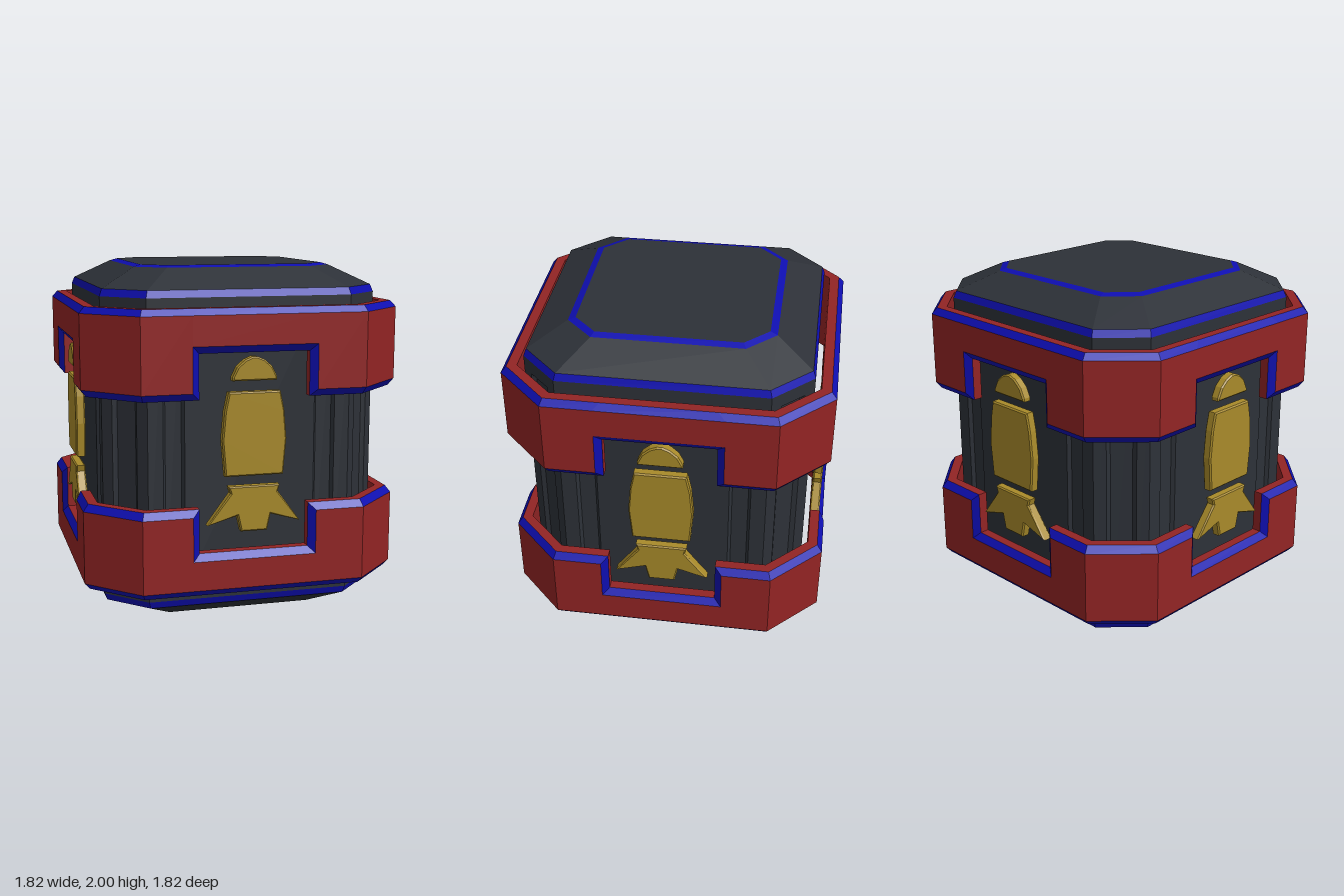
import * as THREE from 'three';

const mat = (color) => new THREE.MeshStandardMaterial({ color, flatShading: true });
const DARK = mat(0x2d3138), RED = mat(0x922424), BLUE = mat(0x0e0eb0), GOLD = mat(0xa88a2a);

// Repeat one side's [x, y, z] points around all four sides
function around(side) {
  const loop = [];
  let pts = side;
  for (let k = 0; k < 4; k++) {
    loop.push(...pts);
    pts = pts.map(([x, y, z]) => [z, y, -x]);
  }
  return loop;
}

// Octagonal loop: half width h, corner position c, height y
const octagon = (h, c, y) => around([[-c, y, h], [c, y, h]]);

// Wall triangles joining two loops
function wall(lower, upper) {
  const tris = [];
  lower.forEach((a, i) => {
    const j = (i + 1) % lower.length;
    tris.push(a, lower[j], upper[j], a, upper[j], upper[i]);
  });
  return tris;
}

// Flat lid on a loop
function lid(loop, up) {
  const tris = [];
  for (let i = 1; i < loop.length - 1; i++) {
    tris.push(loop[0], ...(up ? [loop[i], loop[i + 1]] : [loop[i + 1], loop[i]]));
  }
  return tris;
}

function mesh(name, material, tris) {
  const g = new THREE.BufferGeometry();
  g.setAttribute('position', new THREE.Float32BufferAttribute(tris.flat(), 3));
  g.computeVertexNormals();
  const m = new THREE.Mesh(g, material);
  m.name = name;
  return m;
}

// Fluted core between the two caps
function makeCore() {
  const half = [[0.37, 0.79], [0.385, 0.77], [0.475, 0.77], [0.49, 0.79], [0.575, 0.79]];
  const flute = [[0.625, 0.74], [0.626, 0.711], [0.711, 0.626], [0.74, 0.625]];
  const side = [...half.map(([x, z]) => [-x, z]).reverse(), ...half, ...flute];
  const at = (y) => around(side.map(([x, z]) => [x, y, z]));
  return mesh('core', DARK, wall(at(0.23), at(1.77)));
}

// Chamfered cap with two trim lines
function makeCap(name) {
  const loops = [[0.79, 0.575, 1.76], [0.79, 0.575, 1.84], [0.775, 0.565, 1.88],
    [0.57, 0.415, 1.988], [0.53, 0.4, 2]].map((a) => octagon(...a));
  const cap = new THREE.Group();
  cap.name = name;
  cap.add(
    mesh('capShell', DARK, [...lid(loops[0], false), ...wall(loops[0], loops[1]),
      ...wall(loops[2], loops[3]), ...lid(loops[4], true)]),
    mesh('capTrim', BLUE, [...wall(loops[1], loops[2]), ...wall(loops[3], loops[4])]),
  );
  return cap;
}

// Octagonal armour band, notched on each side, with bevelled trim
function makeBand(name) {
  // c: corner, n: notch half width, low / high: lower edge beside / inside the notch
  const loop = (h, c, n, low, high) => around([[-c, low, h], [-n, low, h], [-n, high, h],
    [n, high, h], [n, low, h], [c, low, h]]);
  const innerLow = loop(0.825, 0.595, 0.31, 1.3, 1.55);
  const bevelLow = loop(0.88, 0.617, 0.31, 1.3, 1.55);
  const outerLow = loop(0.91, 0.63, 0.35, 1.34, 1.59);
  const outerTop = loop(0.91, 0.63, 0.35, 1.755, 1.755);
  const bevelTop = loop(0.88, 0.617, 0.31, 1.79, 1.79);
  const innerTop = loop(0.825, 0.595, 0.31, 1.79, 1.79);
  const band = new THREE.Group();
  band.name = name;
  band.add(
    mesh('bandPlate', RED, [...wall(innerLow, bevelLow), ...wall(outerLow, outerTop),
      ...wall(bevelTop, innerTop), ...wall(innerTop, innerLow)]),
    mesh('bandTrim', BLUE, [...wall(bevelLow, outerLow), ...wall(outerTop, bevelTop)]),
  );
  return band;
}

// Rocket emblem from mirrored right-hand outlines
function makeRocket() {
  const parts = {
    rocketNose: [[0.125, 1.395], [0.125, 1.415], [0.098, 1.47], [0.055, 1.508], [0.015, 1.525]],
    rocketBody: [[0.165, 0.87], [0.182, 1.07], [0.168, 1.23], [0.146, 1.335]],
    rocketFins: [[0.075, 0.557], [0.09, 0.64], [0.265, 0.6], [0.135, 0.775], [0.146, 0.813]],
  };
  // Fin tips sweep down, so their inner edge starts higher
  parts.rocketFins[1] = [0.095, 0.648];
  const rocket = new THREE.Group();
  rocket.name = 'rocket';
  for (const [name, right] of Object.entries(parts)) {
    const left = right.map(([x, y]) => [-x, y]).reverse();
    const shape = new THREE.Shape([...right, ...left].map(([x, y]) => new THREE.Vector2(x, y)));
    const g = new THREE.ExtrudeGeometry(shape, {
      depth: 0.04, bevelThickness: 0.008, bevelSize: 0.008, bevelOffset: -0.008, bevelSegments: 1,
    });
    const m = new THREE.Mesh(g, GOLD);
    m.name = name;
    m.position.z = 0.833;
    rocket.add(m);
  }
  return rocket;
}

export function createModel() {
  const model = new THREE.Group();
  model.name = 'crate';
  model.add(makeCore(), makeCap('topCap'), makeBand('upperBand'));

  // Lower half: the same parts turned upside down about y = 1
  for (const part of [makeCap('bottomCap'), makeBand('lowerBand')]) {
    part.rotation.x = Math.PI;
    part.position.y = 2;
    model.add(part);
  }

  // One emblem per side
  for (let k = 0; k < 4; k++) {
    const rocket = makeRocket();
    rocket.rotation.y = k * Math.PI / 2;
    model.add(rocket);
  }
  return model;
}
